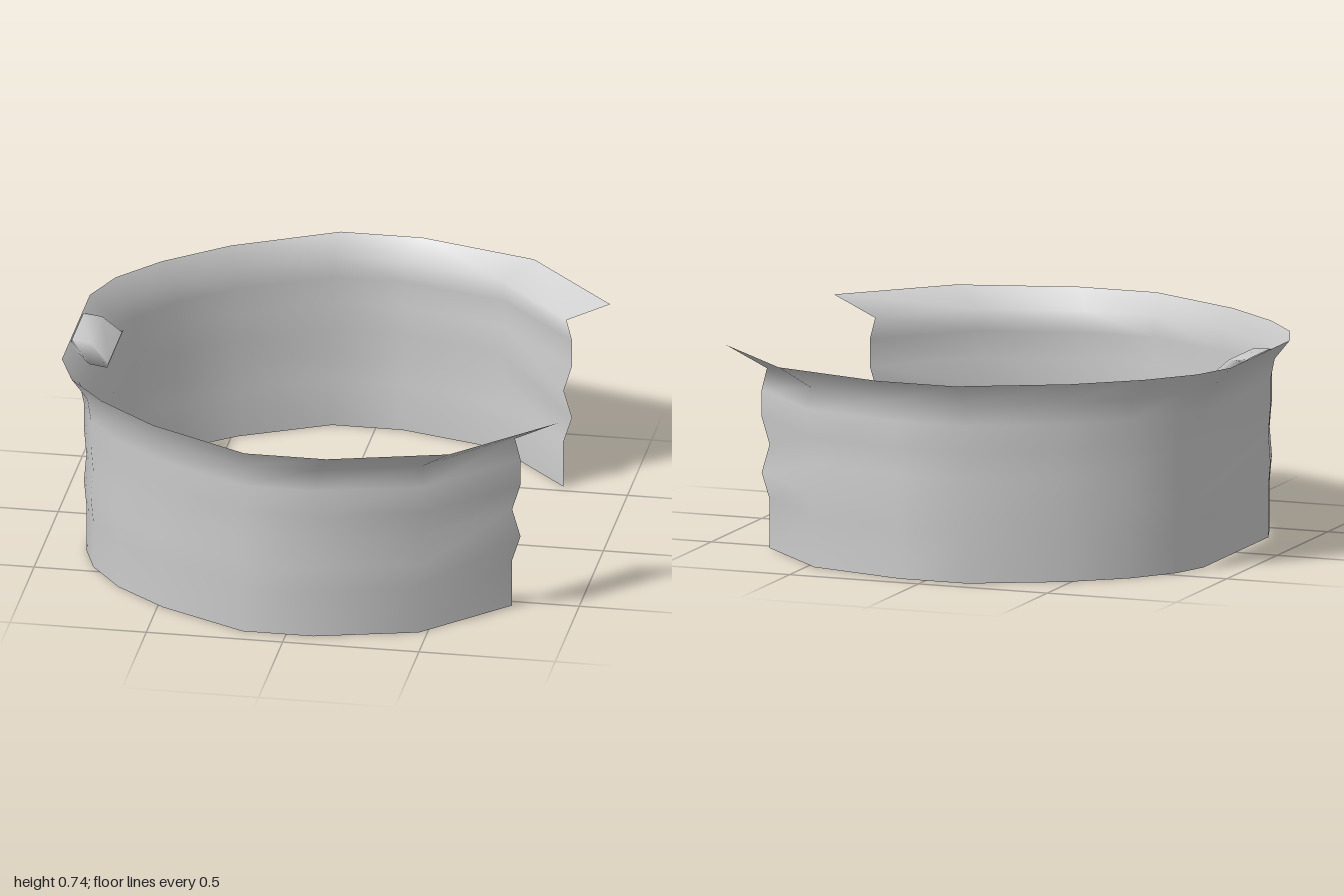
import * as THREE from 'three';

// Half outlines in plan (x, z), from the open end round to the closed side
const WALL = [[0.76, 0.535], [0.47, 0.83], [0.10, 0.93], [-0.16, 0.93],
  [-0.48, 0.77], [-0.67, 0.62], [-0.79, 0.46], [-0.84, 0.32]];
const RIM = [[0.93, 0.535], [0.59, 0.88], [0.16, 1.0], [-0.14, 1.0],
  [-0.51, 0.81], [-0.73, 0.63], [-0.87, 0.46], [-0.935, 0.29]];

// Height, then flare from wall to rim at the open end and at the closed side
const ROWS = [[0, 0, 0], [0.18, 0, 0], [0.275, 0.18, 0.1], [0.38, 0, 0], [0.48, 0.18, 0.1],
  [0.58, 0.18, 0.1], [0.66, 0.06, 0.3], [0.735, 1, 1]];

// Joins equal-length rows of points into a surface
function skin(rows, closed = false) {
  const n = rows[0].length, index = [];
  for (let r = 0; r < rows.length - 1; r++) {
    for (let i = 0; i < (closed ? n : n - 1); i++) {
      const a = r * n + i, b = r * n + (i + 1) % n;
      index.push(a, a + n, b, b, a + n, b + n);
    }
  }
  const g = new THREE.BufferGeometry();
  g.setAttribute('position', new THREE.Float32BufferAttribute(rows.flat(2), 3));
  g.setIndex(index);
  return g;
}

function ring([y, endFlare, sideFlare]) {
  const half = WALL.map(([x, z], i) => {
    const t = THREE.MathUtils.lerp(endFlare, sideFlare, i / (WALL.length - 1));
    return [x + (RIM[i][0] - x) * t, y, z + (RIM[i][1] - z) * t];
  });
  const mirrored = half.map(([x, h, z]) => [x, h, -z]).reverse();
  return [...half, ...mirrored];
}

export function createModel() {
  const model = new THREE.Group();
  const material = new THREE.MeshStandardMaterial({ color: 0xcccccc, side: THREE.DoubleSide });

  // Open ribbed band with its flared rim
  const bandGeometry = skin(ROWS.map(ring));
  bandGeometry.computeVertexNormals();
  const band = new THREE.Mesh(bandGeometry, material);
  band.name = 'openBand';
  model.add(band);

  // Small wedge catch under the rim: sections run from the rim in to the lip
  const sections = [[-0.93, 0.735, 0.73, 0.14], [-0.86, 0.73, 0.66, 0.15], [-0.79, 0.665, 0.66, 0.17]];
  const catchGeometry = skin(sections.map(([x, top, bottom, w]) => [
    [x, top, w - 0.03], [x, top, -w + 0.03], [x, bottom, -w], [x, bottom, w]]), true);
  catchGeometry.computeVertexNormals();
  const rimCatch = new THREE.Mesh(catchGeometry, material);
  rimCatch.name = 'rimCatch';
  model.add(rimCatch);

  return model;
}
